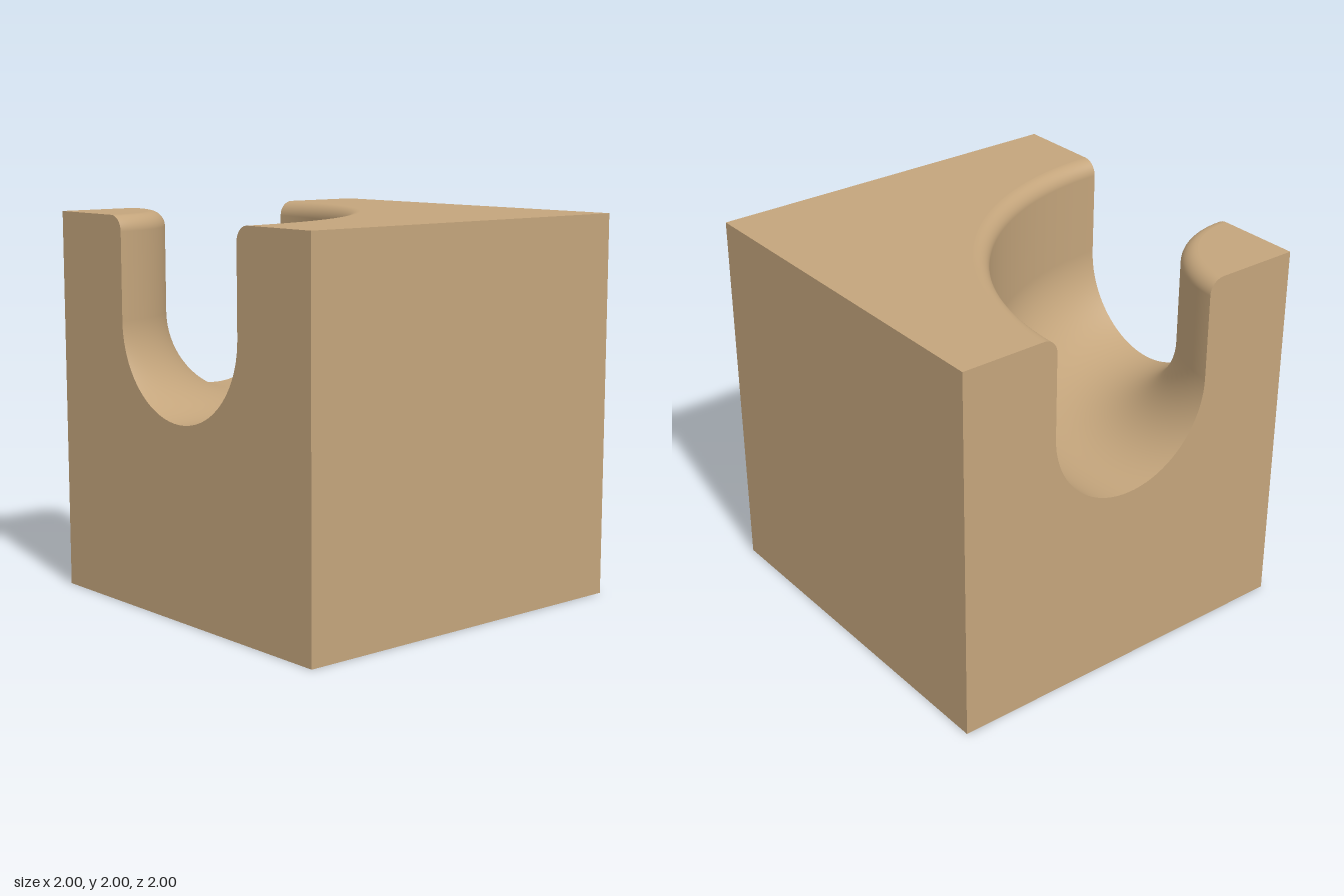
import * as THREE from 'three';

const INNER = 0.53, OUTER = 1.47, RIM = 0.08; // groove walls and rim rounding
const MID = (INNER + OUTER) / 2, R = (OUTER - INNER) / 2;
const TOP = 2, FLOOR_CENTRE = 1 + R, SEGMENTS = 64;

// Groove cross-section (distance from the corner axis, height), outer rim to post
function grooveProfile() {
  const pts = [];
  const arc = (cx, cy, r, from, to, n) => {
    for (let i = 0; i <= n; i++) {
      const a = from + (to - from) * i / n;
      pts.push(new THREE.Vector2(cx + r * Math.cos(a), cy + r * Math.sin(a)));
    }
  };
  arc(OUTER + RIM, TOP - RIM, RIM, Math.PI / 2, Math.PI, 10);
  arc(MID, FLOOR_CENTRE, R, 0, -Math.PI, 40);
  arc(INNER - RIM, TOP - RIM, RIM, 0, Math.PI / 2, 10);
  return pts;
}

export function createModel() {
  const group = new THREE.Group();
  const wood = new THREE.MeshStandardMaterial({ color: 0xc4a57c });
  wood.name = 'tan wood';
  const add = (name, geometry, x = 0, y = 0, z = 0) => {
    const mesh = new THREE.Mesh(geometry, wood);
    mesh.name = name;
    mesh.position.set(x, y, z);
    group.add(mesh);
  };
  const profile = grooveProfile();

  // Curved groove swept a quarter turn about the back corner
  add('groove', new THREE.LatheGeometry(profile, SEGMENTS, 0, Math.PI / 2), -1, 0, -1);

  // Flat top of the corner post
  add('postTop', new THREE.CircleGeometry(INNER - RIM, SEGMENTS, -Math.PI / 2, Math.PI / 2)
    .rotateX(-Math.PI / 2), -1, TOP, -1);

  // Flat top outside the groove
  const top = [];
  for (let i = 0; i <= SEGMENTS; i++) {
    const a = i / SEGMENTS * Math.PI / 2, r = OUTER + RIM;
    top.push(new THREE.Vector2(-1 + r * Math.sin(a), 1 - r * Math.cos(a)));
  }
  top.push(new THREE.Vector2(1, 1), new THREE.Vector2(1, -1), new THREE.Vector2(-1, -1));
  add('top', new THREE.ShapeGeometry(new THREE.Shape(top)).rotateX(-Math.PI / 2), 0, TOP, 0);

  // Two side faces cut open by the groove ends
  const cutFace = (side) => {
    const pts = [[2, 0], [2, TOP], ...profile.map((p) => [p.x, p.y]), [0, TOP], [0, 0]];
    return new THREE.ShapeGeometry(new THREE.Shape(
      pts.map(([d, y]) => new THREE.Vector2(side * (d - 1), y))));
  };
  add('backFace', cutFace(-1).rotateY(Math.PI), 0, 0, -1);
  add('rightFace', cutFace(1).rotateY(-Math.PI / 2), -1, 0, 0);

  // Plain faces of the block
  const square = () => new THREE.PlaneGeometry(2, 2);
  add('frontFace', square(), 0, 1, 1);
  add('leftFace', square().rotateY(Math.PI / 2), 1, 1, 0);
  add('bottom', square().rotateX(Math.PI / 2), 0, 0, 0);
  return group;
}
